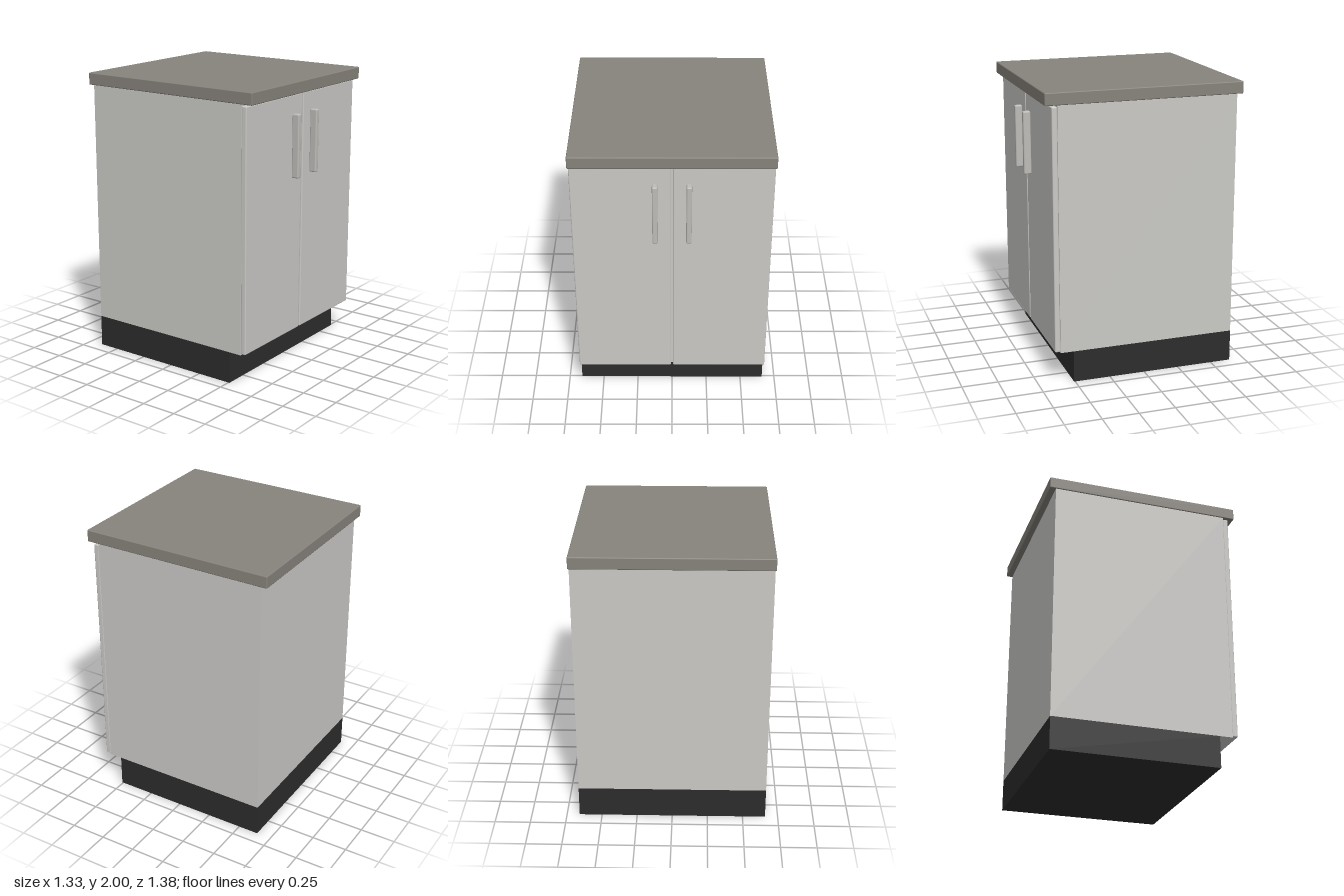
import * as THREE from 'three';
import { RoundedBoxGeometry } from 'three/addons/geometries/RoundedBoxGeometry.js';

export function createModel() {
  const model = new THREE.Group();
  model.name = 'baseCabinet';

  const material = (name, color) => {
    const m = new THREE.MeshStandardMaterial({ color });
    m.name = name;
    return m;
  };
  const paint = material('pale grey paint', 0xcac9c6);
  const metal = material('handle grey', 0xbdbcb8);
  const stone = material('worktop grey', 0x87837c);
  const black = material('plinth black', 0x2c2c2c);

  // Box given by its [min, max] extents, with softened edges when a radius is set
  function addBox(name, mat, [x0, x1], [y0, y1], [z0, z1], radius = 0) {
    const size = [x1 - x0, y1 - y0, z1 - z0];
    const geometry = radius
      ? new RoundedBoxGeometry(...size, 2, radius)
      : new THREE.BoxGeometry(...size);
    const mesh = new THREE.Mesh(geometry, mat);
    mesh.name = name;
    mesh.position.set((x0 + x1) / 2, (y0 + y1) / 2, (z0 + z1) / 2);
    model.add(mesh);
  }

  // Recessed plinth, carcass and overhanging worktop
  addBox('plinth', black, [-0.66, 0.66], [0, 0.222], [-0.645, 0.508]);
  addBox('carcass', paint, [-0.66, 0.66], [0.222, 1.916], [-0.645, 0.6]);
  addBox('worktop', stone, [-0.665, 0.665], [1.916, 2], [-0.688, 0.684], 0.007);

  // A pair of doors with upright handles near the middle
  for (const [side, s] of [['left', 1], ['right', -1]]) {
    const span = (a, b) => (s > 0 ? [a, b] : [-b, -a]);
    addBox(side + 'Door', paint, span(0.007, 0.66), [0.229, 1.906], [0.6, 0.638], 0.008);
    addBox(side + 'Handle', metal, span(0.093, 0.129), [1.34, 1.779], [0.637, 0.69], 0.009);
  }

  return model;
}
